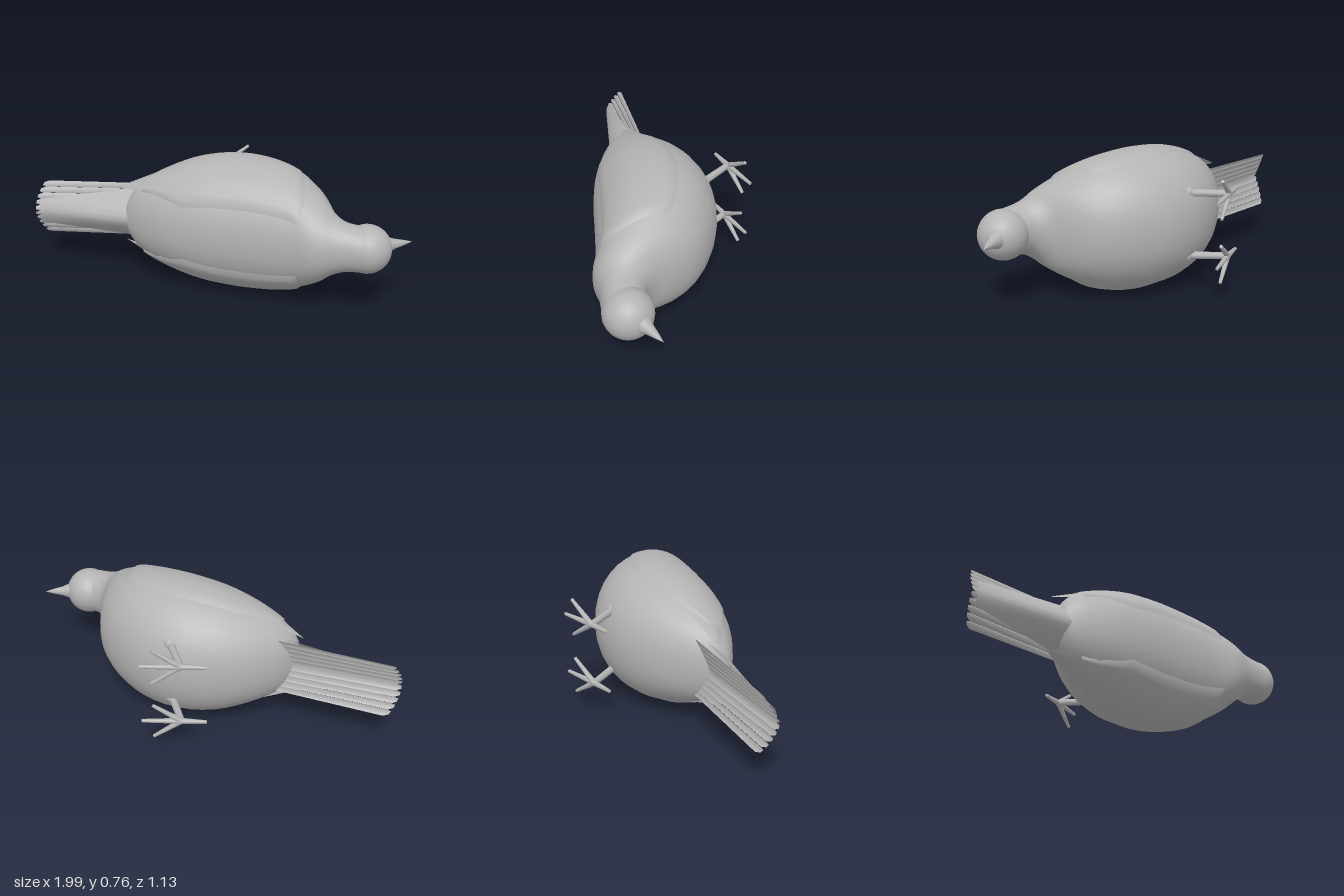
import * as THREE from 'three';
import { mergeVertices } from 'three/addons/utils/BufferGeometryUtils.js';

// The bird lies on its side: beak towards +x, back towards +z, feet towards -z.
const MID = 0.377;
// Body sections: top x, top z, bottom x, bottom z, half width, y centre
const SECTIONS = [
  [-0.49, -0.19, -0.47, -0.23, 0.03, MID],
  [-0.48, -0.15, -0.44, -0.27, 0.11, MID],
  [-0.42, -0.07, -0.36, -0.33, 0.2, MID],
  [-0.3, 0.05, -0.2, -0.4, 0.275, MID],
  [-0.14, 0.155, 0, -0.435, 0.34, MID],
  [0.04, 0.245, 0.2, -0.41, 0.368, MID],
  [0.2, 0.325, 0.38, -0.32, 0.36, MID],
  [0.32, 0.39, 0.52, -0.18, 0.325, MID],
  [0.4, 0.45, 0.6, -0.04, 0.265, MID],
  [0.46, 0.475, 0.622, 0.1, 0.215, 0.38],
  [0.53, 0.49, 0.622, 0.2, 0.165, 0.385],
  [0.6, 0.515, 0.65, 0.275, 0.133, 0.39],
  [0.68, 0.55, 0.7, 0.31, 0.122, 0.39],
];

// Smooth interpolation between sections
function sectionAt(s) {
  const n = SECTIONS.length - 1;
  const i = Math.min(Math.floor(s), n - 1), t = s - i;
  const at = (k) => SECTIONS[Math.max(0, Math.min(n, k))];
  return at(i).map((b, k) => {
    const a = at(i - 1)[k], c = at(i + 1)[k], d = at(i + 2)[k];
    return b + 0.5 * t * (c - a + t * (2 * a - 5 * b + 4 * c - d + t * (3 * (b - c) + d - a)));
  });
}

// Point on the body; phi runs from the back round the +y flank
function bodyPoint(s, phi, lift = 0) {
  const [tx, tz, bx, bz, w, yc] = sectionAt(s);
  const hx = (tx - bx) / 2, hz = (tz - bz) / 2;
  const grow = 1 + lift / Math.hypot(hx, hz);
  const c = Math.cos(phi) * grow, q = Math.sin(phi);
  const sn = Math.sign(q) * Math.pow(Math.abs(q), 0.92) * (w + lift);
  return [(tx + bx) / 2 + hx * c, yc + sn, (tz + bz) / 2 + hz * c];
}

// Surface over a grid of (u, v) in 0..1
function surface(fn, nu, nv, flip = false) {
  const pos = [], idx = [];
  for (let i = 0; i <= nu; i++) for (let j = 0; j <= nv; j++) pos.push(...fn(i / nu, j / nv));
  for (let i = 0; i < nu; i++) for (let j = 0; j < nv; j++) {
    const a = i * (nv + 1) + j, b = a + nv + 1;
    if (flip) idx.push(a, a + 1, b, b, a + 1, b + 1);
    else idx.push(a, b, a + 1, b, b + 1, a + 1);
  }
  let g = new THREE.BufferGeometry();
  g.setAttribute('position', new THREE.Float32BufferAttribute(pos, 3));
  g.setIndex(idx);
  g = mergeVertices(g, 1e-5);
  g.computeVertexNormals();
  return g;
}

const lerp = THREE.MathUtils.lerp;
const V = (x, y, z) => new THREE.Vector3(x, y, z);

export function createModel() {
  const model = new THREE.Group();
  model.name = 'bird';
  const grey = new THREE.MeshStandardMaterial({ color: 0xb4b4b4, side: THREE.DoubleSide });
  grey.name = 'plain grey';

  const add = (name, geometry, parent = model) => {
    const mesh = new THREE.Mesh(geometry, grey);
    mesh.name = name;
    parent.add(mesh);
    return mesh;
  };
  // Tapered rod between two points
  const rod = (name, a, b, ra, rb, parent, sides = 8) => {
    const dir = b.clone().sub(a);
    const mesh = add(name, new THREE.CylinderGeometry(rb, ra, dir.length(), sides), parent);
    mesh.position.copy(a).addScaledVector(dir, 0.5);
    mesh.quaternion.setFromUnitVectors(V(0, 1, 0), dir.normalize());
    return mesh;
  };

  // Body and neck
  const last = SECTIONS.length - 1;
  add('body', surface((u, v) => bodyPoint(u * last, v * Math.PI * 2), 36, 32));

  // Head
  const head = add('head', new THREE.SphereGeometry(0.13, 24, 16));
  head.position.set(0.732, 0.39, 0.434);

  // Beak with a flared base
  const profile = [[0.062, -0.03], [0.042, 0.012], [0.028, 0.045], [0.015, 0.1], [0, 0.15]];
  const beak = add('beak', new THREE.LatheGeometry(profile.map(([r, y]) => new THREE.Vector2(r, y)), 14));
  beak.position.set(0.84, 0.396, 0.412);
  beak.quaternion.setFromUnitVectors(V(0, 1, 0), V(1, 0.01, -0.13).normalize());

  for (const side of [1, -1]) {
    const label = side > 0 ? 'left' : 'right';

    // Folded wing: a thin shell whose rim sinks into the flank, with a free tip behind
    add(label + 'Wing', surface((u, v) => {
      const s = lerp(2.1, 7.7, u) - 0.6 * u * Math.abs(v - 0.35);
      const open = Math.min(1, 0.4 + u * 2.2);
      const phi = lerp(1.3 - 0.85 * open, 1.5 + 0.42 * open, v);
      const rim = u > 0.999 || v < 0.001 || v > 0.999;
      const p = bodyPoint(s, phi, rim ? -0.004 : 0.009);
      return [p[0], MID + side * (p[1] - MID), p[2]];
    }, 22, 14, side < 0));
    add(label + 'WingTip', surface((u, v) => {
      const p = bodyPoint(2.7, lerp(0.75, 1.85, v), 0.004);
      return [lerp(p[0], -0.49, u), MID + side * lerp(p[1] - MID, 0.155 + 0.01 * v, u),
        lerp(p[2], -0.25 - 0.02 * v, u)];
    }, 3, 6, side > 0));

    // Leg: feathered thigh, shin and four toes
    const leg = new THREE.Group();
    leg.name = label + 'Leg';
    leg.position.y = MID + side * 0.17;
    model.add(leg);
    const knee = V(0.195, 0, -0.345), ankle = V(0.13, 0, -0.552);
    rod('thigh', V(0.2, side * 0.01, -0.28), knee, 0.055, 0.036, leg, 10);
    const joint = add('knee', new THREE.SphereGeometry(0.036, 10, 8), leg);
    joint.position.copy(knee);
    rod('shin', knee, ankle, 0.021, 0.018, leg);
    const heel = add('heel', new THREE.SphereGeometry(0.018, 8, 6), leg);
    heel.position.copy(ankle);
    for (const [x, y] of [[0.335, 0], [0.275, 0.1], [0.275, -0.1], [0, 0]])
      rod('toe', ankle, V(x, y, -0.557), 0.016, 0.009, leg);

    // Tail feathers, each with a notched end, fanned from the centre outwards
    for (let k = 0; k < 5; k++) {
      const edge = (f, end) => {
        const z = end ? -0.405 - 0.058 * f : -0.255 - 0.035 * f;
        return [end ? -0.975 + 0.065 * f * f : -0.36, 0.357 + (1 - end) * 0.02 + side * f * 0.16, z];
      };
      const lift = 0.006 * (1 - k / 4);
      add('tailFeather', surface((u, v) => {
        const f = (k + v) / 5, a = edge(f, 0), b = edge(f, 1);
        const notch = u * (v > 0.2 && v < 0.8 ? -0.024 : 0);
        return [lerp(a[0], b[0], u) + notch, lerp(a[1], b[1], u), lerp(a[2], b[2], u) + lift];
      }, 1, 4, side > 0));
    }
  }

  // Rump: a ridged cover tapering back over the tail
  add('rump', surface((u, v) => {
    const across = 2 * v - 1, a = Math.abs(across);
    const round = 1 - Math.pow(a, 1.6);
    return [lerp(-0.36, -0.97, u), lerp(MID, 0.358, u) + across * lerp(0.155, 0.07, u),
      lerp(-0.245 + 0.16 * round, -0.405 + 0.02 * round, u)];
  }, 4, 10, true).toNonIndexed());

  return model;
}
